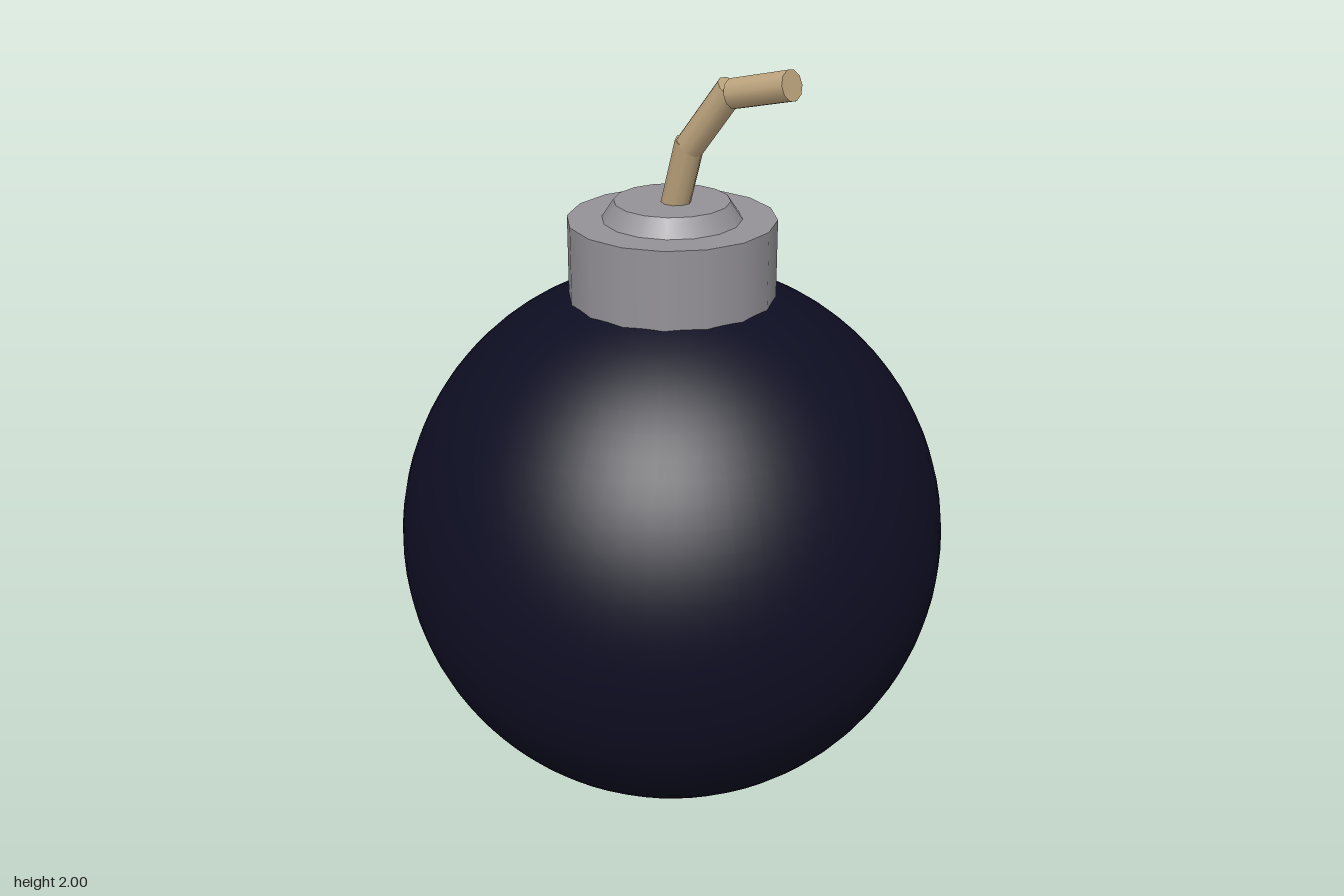
import * as THREE from 'three';

export function createModel() {
  const group = new THREE.Group();
  const mat = (name, color) => Object.assign(new THREE.MeshStandardMaterial({ color }), { name });
  const navy = mat('dark navy', 0x0e0e23);
  const grey = mat('grey metal', 0x949297);
  const tan = mat('tan cord', 0xbfa67f);

  const add = (name, geometry, material, y = 0) => {
    const mesh = new THREE.Mesh(geometry, material);
    mesh.name = name;
    mesh.position.y = y;
    group.add(mesh);
    return mesh;
  };

  // Round body
  add('body', new THREE.SphereGeometry(0.715, 64, 40), navy, 0.715);

  // Metal collar, sunk slightly into the body, with a bevelled cap
  add('collar', new THREE.CylinderGeometry(0.262, 0.262, 0.22, 16), grey, 1.47);
  add('cap', new THREE.CylinderGeometry(0.145, 0.175, 0.045, 16), grey, 1.6025);

  // Fuse: three straight, capped lengths of cord meeting at angles
  const segments = [
    [[0, 1.58, 0], [0.066, 1.785, 0]],
    [[0.066, 1.775, 0], [0.18, 1.93, -0.027]],
    [[0.19, 1.92, -0.025], [0.358, 1.965, -0.048]],
  ];
  const up = new THREE.Vector3(0, 1, 0);
  segments.forEach(([a, b], i) => {
    const start = new THREE.Vector3(...a);
    const end = new THREE.Vector3(...b);
    const dir = end.clone().sub(start);
    const piece = add('fuseSegment' + (i + 1), new THREE.CylinderGeometry(0.037, 0.037, dir.length(), 10), tan);
    piece.position.copy(start).add(end).multiplyScalar(0.5);
    piece.quaternion.setFromUnitVectors(up, dir.normalize());
  });

  return group;
}
